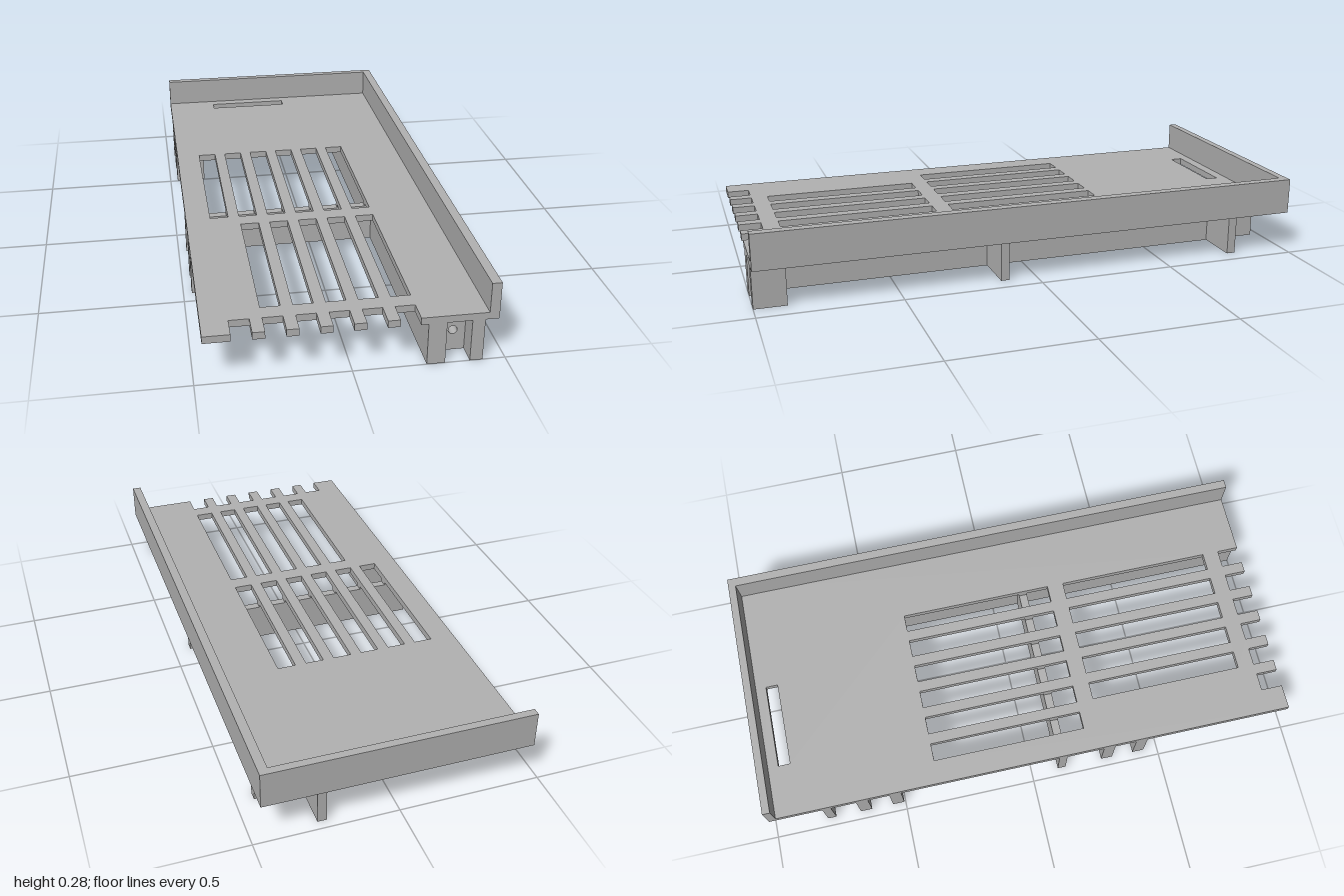
import * as THREE from 'three';

const grey = new THREE.MeshStandardMaterial({ color: 0xb2b2b2 });
grey.name = 'grey plastic';

const W = 0.47, INNER = 0.4375;           // half width, inner face of the side rim
const FLOOR = 0.15, DECK = 0.175, RIM = 0.28;
const slotLeft = i => -0.381 + i * 0.1062; // left edge of slot column i
const SLOT = 0.066;

function rectHole(x0, x1, z0, z1) {
  return new THREE.Path([[x0, z0], [x0, z1], [x1, z1], [x1, z0]].map(p => new THREE.Vector2(...p)));
}

function add(parent, name, geometry) {
  const mesh = new THREE.Mesh(geometry, grey);
  mesh.name = name;
  parent.add(mesh);
  return mesh;
}

// Box given by its limits on each axis
function block(parent, name, x0, x1, y0, y1, z0, z1) {
  const g = new THREE.BoxGeometry(x1 - x0, y1 - y0, z1 - z0);
  g.translate((x0 + x1) / 2, (y0 + y1) / 2, (z0 + z1) / 2);
  return add(parent, name, g);
}

// Slotted deck with an open comb along the front edge
function deckGeometry() {
  const s = new THREE.Shape();
  s.moveTo(-W, -1);
  s.lineTo(W, -1);
  s.lineTo(W, 1);
  for (let i = 5; i >= 0; i--) {
    const x = slotLeft(i);
    s.lineTo(x + SLOT, 1);
    s.lineTo(x + SLOT, 0.92);
    s.lineTo(x, 0.92);
    s.lineTo(x, 1);
  }
  s.lineTo(-W, 1);
  for (let i = 0; i < 6; i++) {
    const x = slotLeft(i);
    s.holes.push(rectHole(x, x + SLOT, -0.36, 0.217));
    if (i > 0) s.holes.push(rectHole(x, x + SLOT, 0.28, 0.858));
  }
  s.holes.push(rectHole(-0.275, 0.042, -0.933, -0.888));
  const g = new THREE.ExtrudeGeometry(s, { depth: DECK - FLOOR, bevelEnabled: false });
  return g.rotateX(Math.PI / 2).translate(0, DECK, 0);
}

// Cross rib whose top edge is notched below the slots
function notchedRibGeometry(depth) {
  const s = new THREE.Shape();
  s.moveTo(-W, 0);
  s.lineTo(INNER, 0);
  s.lineTo(INNER, FLOOR);
  for (let i = 5; i >= 0; i--) {
    const x = slotLeft(i);
    s.lineTo(x + SLOT, FLOOR);
    s.lineTo(x + SLOT, 0.138);
    s.lineTo(x, 0.138);
    s.lineTo(x, FLOOR);
  }
  s.lineTo(-W, FLOOR);
  return new THREE.ExtrudeGeometry(s, { depth, bevelEnabled: false });
}

// Channel-shaped leg: open face at z = 0, body behind it, drilled back wall
function channelLeg(name, left, right) {
  const leg = new THREE.Group();
  leg.name = name;
  const depth = 0.115, wall = 0.045, half = 0.041;
  block(leg, 'legFlange', left, -half, 0, FLOOR, -depth, 0);
  block(leg, 'legFlange', half, right, 0, FLOOR, -depth, 0);
  const s = new THREE.Shape();
  s.moveTo(-half, 0);
  s.lineTo(half, 0);
  s.lineTo(half, FLOOR);
  s.lineTo(-half, FLOOR);
  s.holes.push(new THREE.Path().absarc(0, 0.075, 0.015, 0, Math.PI * 2, true));
  const g = new THREE.ExtrudeGeometry(s, { depth: wall, bevelEnabled: false, curveSegments: 24 });
  add(leg, 'legBackWall', g.translate(0, 0, -depth));
  return leg;
}

export function createModel() {
  const model = new THREE.Group();
  model.name = 'slottedTray';

  add(model, 'deck', deckGeometry());
  // Rims standing on two sides of the deck
  block(model, 'sideRim', INNER, W, DECK, RIM, -1, 1);
  block(model, 'backRim', -W, INNER, DECK, RIM, -1, -0.972);

  // Supporting ribs under the deck
  add(model, 'middleRib', notchedRibGeometry(0.031)).position.z = 0.103;
  block(model, 'backRib', -W, INNER, 0, FLOOR, -0.802, -0.77);
  block(model, 'longRib', 0.241, 0.273, 0, FLOOR, -0.967, 0.89);

  // Front leg opens forward, side legs open outward
  const frontLeg = channelLeg('frontLeg', -0.101, 0.083);
  frontLeg.position.set(0.342, 0, 1);
  model.add(frontLeg);
  for (const z of [-0.59, 0.362]) {
    const leg = channelLeg('sideLeg', -0.085, 0.085);
    leg.rotation.y = -Math.PI / 2;
    leg.position.set(-W, 0, z);
    model.add(leg);
  }
  return model;
}
